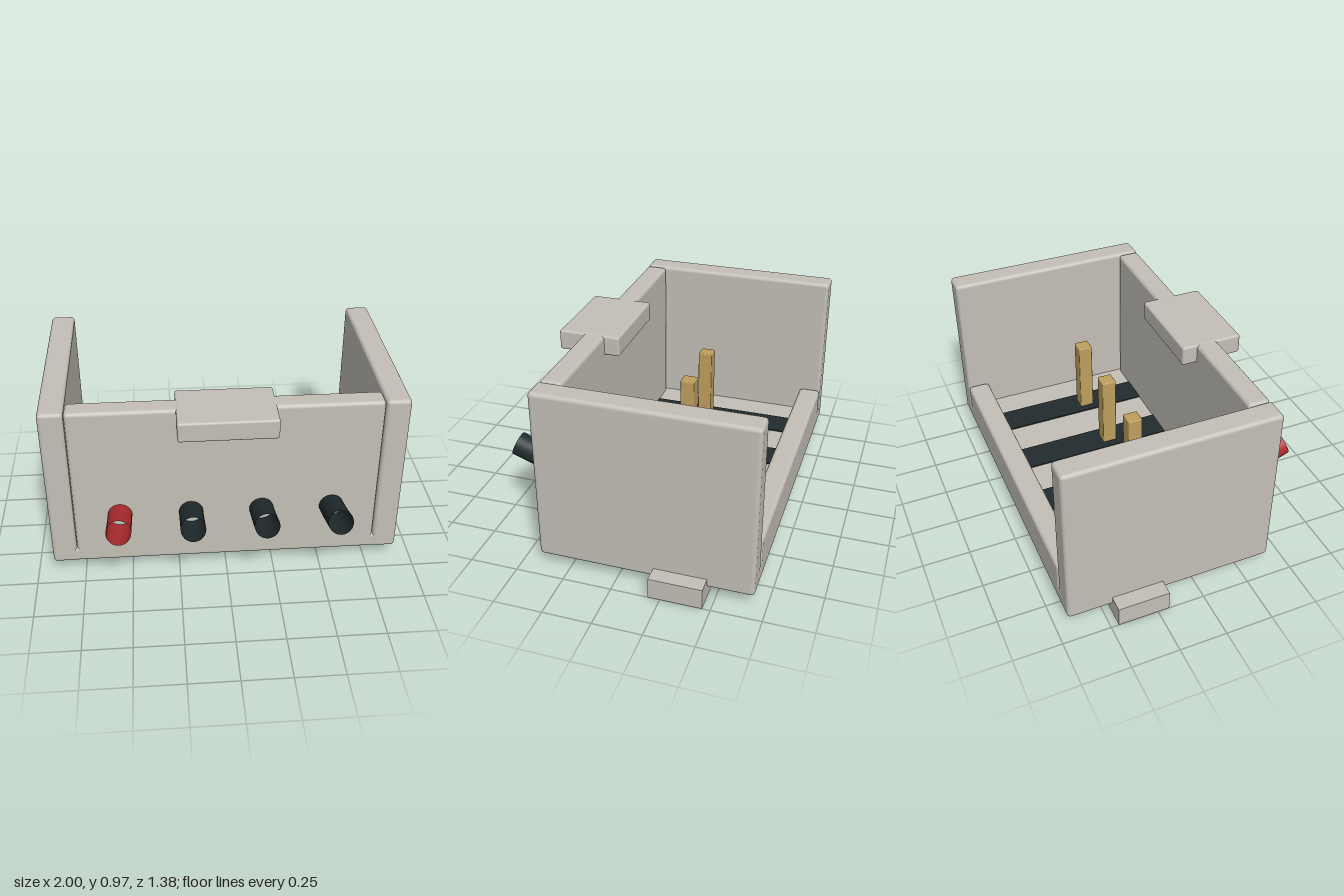
import * as THREE from 'three';
import { RoundedBoxGeometry } from 'three/addons/geometries/RoundedBoxGeometry.js';

const mat = (name, color, side = THREE.FrontSide) => {
  const m = new THREE.MeshStandardMaterial({ color, side });
  m.name = name;
  return m;
};

export function createModel() {
  const group = new THREE.Group();
  group.name = 'pinHeaderConnector';
  const plastic = mat('warm grey plastic', 0xc4c0b7);
  const dark = mat('dark insulation', 0x212c2e, THREE.DoubleSide);
  const red = mat('red insulation', 0xb52e30, THREE.DoubleSide);
  const brass = mat('brass', 0xbf9f5d);

  const add = (name, geometry, material) => {
    const mesh = new THREE.Mesh(geometry, material);
    mesh.name = name;
    group.add(mesh);
    return mesh;
  };
  // Box given by its extents; a radius rounds its edges
  const box = (name, [x0, x1], [y0, y1], [z0, z1], material, radius = 0) => {
    const size = [x1 - x0, y1 - y0, z1 - z0];
    const geometry = radius
      ? new RoundedBoxGeometry(...size, 3, radius)
      : new THREE.BoxGeometry(...size);
    add(name, geometry, material).position.set((x0 + x1) / 2, (y0 + y1) / 2, (z0 + z1) / 2);
  };

  // Housing
  const r = 0.02;
  box('base', [-0.915, 0.915], [0.06, 0.145], [-0.69, 0.405], plastic, r);
  box('frontWall', [-0.788, 0.788], [0.06, 0.97], [0.29, 0.405], plastic, r);
  box('backLip', [-0.788, 0.788], [0.06, 0.29], [-0.69, -0.57], plastic, r);
  box('latch', [-0.247, 0.247], [0.866, 0.972], [0.21, 0.537], plastic, 0.012);

  // Side walls and mounting feet
  for (const s of [-1, 1]) {
    const span = (a, b) => (s > 0 ? [a, b] : [-b, -a]);
    const side = s > 0 ? 'left' : 'right';
    box(side + 'Wall', span(0.79, 0.917), [0.06, 0.972], [-0.69, 0.407], plastic, r);
    box(side + 'Foot', span(0.8, 1), [0, 0.11], [-0.46, -0.19], plastic);
  }

  // Each way: floor strip, upright pin and open-ended wire sleeve
  [-0.55, -0.183, 0.183, 0.55].forEach((x, i) => {
    box('floorStrip', [x - 0.083, x + 0.083], [0.144, 0.152], [-0.58, 0.3], dark);
    box('pin', [x - 0.04, x + 0.04], [0.1, 0.565], [-0.077, 0.002], brass, 0.006);
    const path = new THREE.QuadraticBezierCurve3(
      new THREE.Vector3(x, 0.342, 0.35),
      new THREE.Vector3(x, 0.377, 0.5),
      new THREE.Vector3(x, 0.443, 0.668)
    );
    add('wire', new THREE.TubeGeometry(path, 10, 0.063, 24), i === 0 ? red : dark);
  });

  return group;
}
